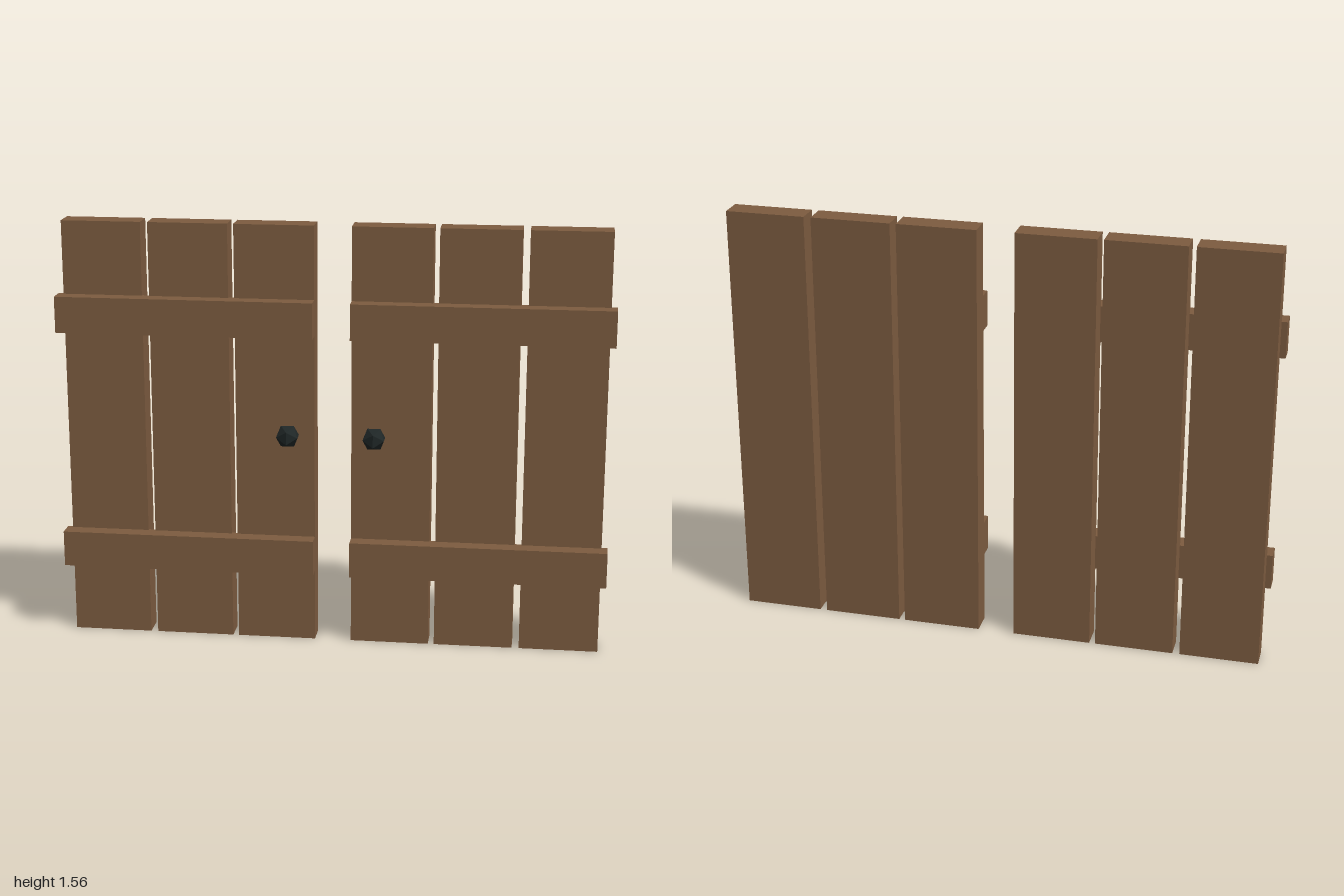
import * as THREE from 'three';

export function createModel() {
  const wood = new THREE.MeshStandardMaterial({ color: 0x7d5c40 });
  wood.name = 'brown wood';
  const iron = new THREE.MeshStandardMaterial({ color: 0x1f2626 });
  iron.name = 'dark iron';
  iron.flatShading = true;

  const model = new THREE.Group();
  model.name = 'doublePlankDoor';

  // Box given by its lower and upper corners
  function addBox(parent, name, [x0, y0, z0], [x1, y1, z1]) {
    const mesh = new THREE.Mesh(new THREE.BoxGeometry(x1 - x0, y1 - y0, z1 - z0), wood);
    mesh.name = name;
    mesh.position.set((x0 + x1) / 2, (y0 + y1) / 2, (z0 + z1) / 2);
    parent.add(mesh);
  }

  const plankWidth = 0.288;
  const plankCentres = [0.211, 0.521, 0.835];

  for (const side of [1, -1]) {
    const door = new THREE.Group();
    door.name = side > 0 ? 'leftDoor' : 'rightDoor';

    // Upright planks
    for (const c of plankCentres) {
      const x = side * c;
      addBox(door, 'plank', [x - plankWidth / 2, 0, -0.096], [x + plankWidth / 2, 1.557, -0.008]);
    }

    // Cross battens on the front, overhanging the outer edge
    const ends = [side * 0.067, side * 1].sort((a, b) => a - b);
    for (const y of [0.27, 1.158]) {
      addBox(door, 'batten', [ends[0], y, -0.017], [ends[1], y + 0.132, 0.049]);
    }

    // Faceted knob
    const knob = new THREE.Mesh(new THREE.IcosahedronGeometry(0.045, 0), iron);
    knob.name = 'knob';
    knob.position.set(side * 0.156, 0.804, 0.061);
    door.add(knob);

    model.add(door);
  }
  return model;
}
